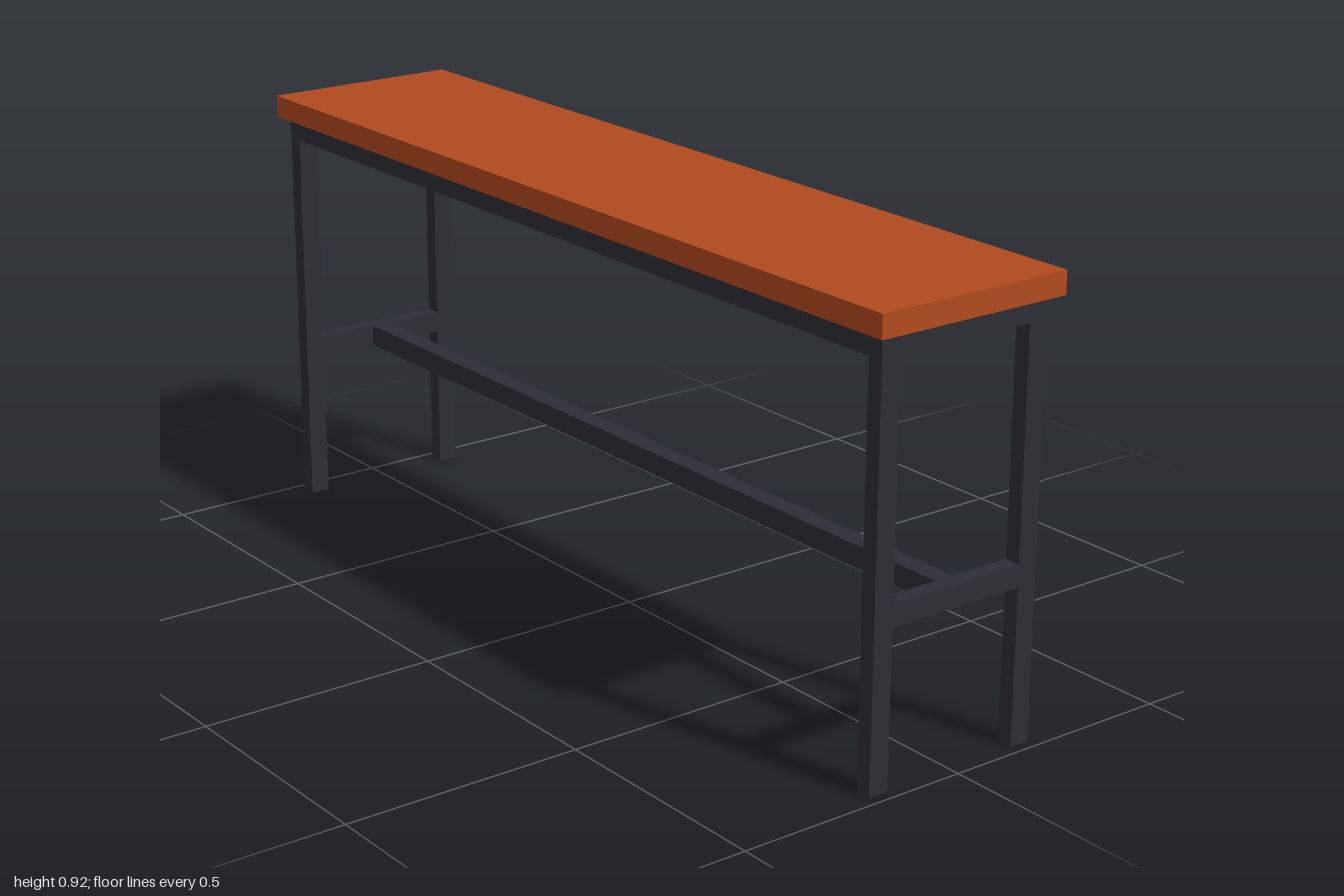
import * as THREE from 'three';

export function createModel() {
  const model = new THREE.Group();
  model.name = 'bench';

  const wood = new THREE.MeshStandardMaterial({ color: 0xb04a20 });
  wood.name = 'orange wood';
  const steel = new THREE.MeshStandardMaterial({ color: 0x2d2d35 });
  steel.name = 'dark steel';

  function box(name, material, size, position) {
    const mesh = new THREE.Mesh(new THREE.BoxGeometry(...size), material);
    mesh.name = name;
    mesh.position.set(...position);
    model.add(mesh);
  }

  const topHeight = 0.92, frameHeight = 0.873;
  const tubeX = 0.043, tubeZ = 0.034, railHeight = 0.046;
  const legX = 0.1745, legZ = 0.961;
  const railY = frameHeight - railHeight / 2;
  const stretcherY = 0.344;
  const innerWidth = 2 * legX - tubeX;
  const innerLength = 2 * legZ - tubeZ;

  // Seat slab
  const slab = topHeight - frameHeight;
  box('seat', wood, [0.434, slab, 2], [0, frameHeight + slab / 2, 0]);

  // Legs, with the rails that join them under the seat
  for (const x of [-legX, legX]) {
    for (const z of [-legZ, legZ]) {
      box('leg', steel, [tubeX, frameHeight, tubeZ], [x, frameHeight / 2, z]);
    }
    box('sideRail', steel, [tubeX, railHeight, innerLength], [x, railY, 0]);
  }

  // End rails and low cross bars
  for (const z of [-legZ, legZ]) {
    box('endRail', steel, [innerWidth, railHeight, tubeZ], [0, railY, z]);
    box('crossBar', steel, [innerWidth, railHeight, tubeZ], [0, stretcherY, z]);
  }

  // Long stretcher between the cross bars
  box('stretcher', steel, [tubeX, railHeight, innerLength], [0, stretcherY, 0]);

  return model;
}
